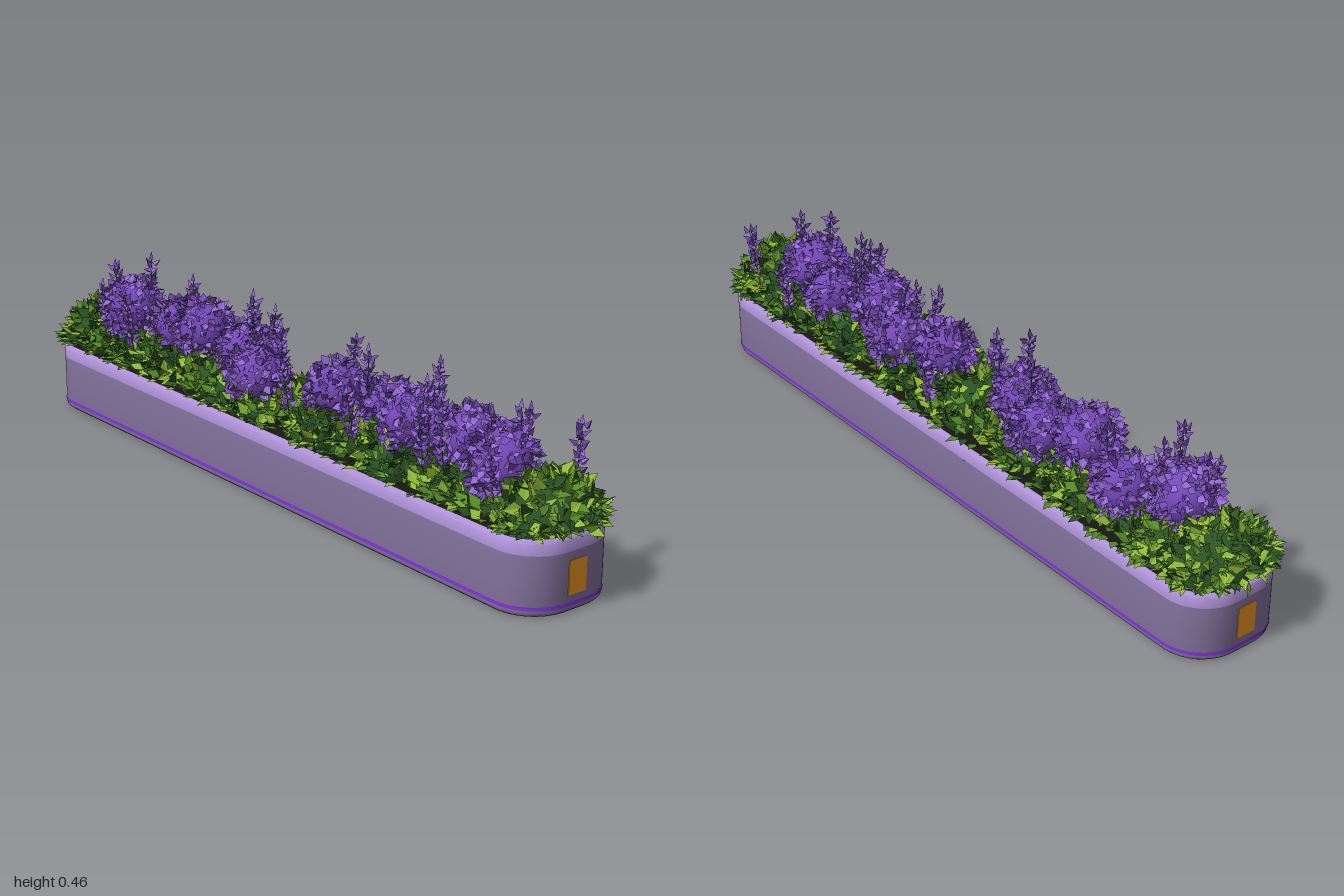
import * as THREE from 'three';
import { toCreasedNormals } from 'three/addons/utils/BufferGeometryUtils.js';

const mat = (name, color, side = THREE.FrontSide) => {
  const m = new THREE.MeshStandardMaterial({ color, side });
  m.name = name;
  return m;
};
const V = (x, y, z) => new THREE.Vector3(x, y, z);

export function createModel() {
  let seed = 7;
  const rnd = () => {
    seed = (seed * 16807) % 2147483647;
    return seed / 2147483647;
  };
  const jit = (s) => (rnd() * 2 - 1) * s;
  const jitV = (s) => V(jit(s), jit(s), jit(s));

  const body = mat('planterMauve', 0x8675a0);
  const rim = mat('rimLilac', 0xb094da);
  const stripe = mat('stripeViolet', 0x7f35d8);
  const label = mat('labelOrange', 0xe5941f);
  const soil = mat('soilDark', 0x17190f, THREE.DoubleSide);
  const greens = [
    mat('leafDark', 0x2c5424, THREE.DoubleSide),
    mat('leafMid', 0x568a2a, THREE.DoubleSide),
    mat('leafLight', 0x92bd3a, THREE.DoubleSide),
  ];
  const purples = [
    mat('petalDeep', 0x7449b8, THREE.DoubleSide),
    mat('petalLight', 0x9468d6, THREE.DoubleSide),
  ];

  const model = new THREE.Group();
  model.name = 'lavenderPlanter';
  const add = (name, geo, material) => {
    const m = new THREE.Mesh(geo, material);
    m.name = name;
    model.add(m);
    return m;
  };

  // Rounded rectangular outline, moved inwards by inset
  const HX = 0.962, HZ = 0.145, R = 0.112, STEPS = 10;
  const outline = (inset) => {
    const pts = [];
    for (let q = 0; q < 4; q++) {
      const cx = (HX - R) * (q === 0 || q === 3 ? 1 : -1);
      const cz = (HZ - R) * (q < 2 ? 1 : -1);
      for (let i = 0; i <= STEPS; i++) {
        const a = (q + i / STEPS) * Math.PI / 2;
        pts.push([cx + Math.cos(a) * (R - inset), cz + Math.sin(a) * (R - inset)]);
      }
    }
    return pts;
  };

  // Sweeps a profile of [inset, y] points around the outline
  const sweep = (profile) => {
    const rows = profile.map(([d, y]) => outline(d).map(([x, z]) => [x, y, z]));
    const pos = [];
    const n = rows[0].length;
    for (let j = 0; j < rows.length - 1; j++) {
      for (let i = 0; i < n; i++) {
        const k = (i + 1) % n;
        const a = rows[j][i], b = rows[j][k], c = rows[j + 1][k], d = rows[j + 1][i];
        pos.push(...a, ...d, ...c, ...a, ...c, ...b);
      }
    }
    const g = new THREE.BufferGeometry();
    g.setAttribute('position', new THREE.Float32BufferAttribute(pos, 3));
    return toCreasedNormals(g, 0.6);
  };

  // Planter shell, open underneath
  const T = 0.011;
  add('planterWall', sweep([[T, 0.145], [T, 0], [0.008, 0], [0.002, 0.005], [0, 0.012], [0, 0.145]]), body);
  add('planterRim', sweep([[0, 0.145], [0, 0.172], [0.003, 0.178], [0.008, 0.181], [T, 0.181], [T, 0.145]]), rim);
  add('baseStripe', sweep([[-0.0012, 0.0165], [-0.0012, 0.0255]]), stripe);
  for (const s of [1, -1]) {
    add('endLabel', new THREE.BoxGeometry(0.003, 0.082, 0.054), label).position.set(s * HX, 0.083, 0.002);
  }
  const bed = new THREE.Shape(outline(T).map(([x, z]) => new THREE.Vector2(x, z)));
  add('soil', new THREE.ShapeGeometry(bed).rotateX(-Math.PI / 2).translate(0, 0.15, 0), soil);

  // Gathers many small pieces into one mesh, with one geometry group per colour
  const cluster = (name, mats) => {
    const lists = mats.map(() => []);
    return {
      // pts: triangle corners in a unit frame growing along +y, with the broad side turned to face
      piece(pts, base, dir, face, width, length, colour = Math.floor(rnd() * mats.length)) {
        const y = dir.clone().normalize();
        const x = y.clone().cross(face).normalize();
        const m = new THREE.Matrix4().makeBasis(x, y, x.clone().cross(y));
        for (const p of pts) {
          const v = V(p[0] * width, p[1] * length, p[2] * width).applyMatrix4(m).add(base);
          lists[colour].push(v.x, v.y, v.z);
        }
      },
      done() {
        const g = new THREE.BufferGeometry();
        let start = 0;
        lists.forEach((l, i) => {
          g.addGroup(start, l.length / 3, i);
          start += l.length / 3;
        });
        g.setAttribute('position', new THREE.Float32BufferAttribute(lists.flat(), 3));
        g.computeVertexNormals();
        return add(name, g, mats);
      },
    };
  };

  // Folded leaf, and three-sided floret
  const leaf = [[0, 0, 0], [0.5, 0.4, 0.15], [0, 1, 0], [0, 0, 0], [0, 1, 0], [-0.5, 0.4, 0.15]];
  const tri = [0, 1, 2].map((i) => [Math.sin(i * 2.094) * 0.5, 0, Math.cos(i * 2.094) * 0.5]);
  const floret = [0, 1, 2].flatMap((i) => [tri[i], tri[(i + 1) % 3], [0, 1, 0]]);
  floret.push(tri[2], tri[1], tri[0]);

  // Ball or dome: a core covered in leaning pieces that face outwards
  const tuft = (name, mats, c, rad, count, width, length, spread, low) => {
    const core = add(name + 'Core', new THREE.SphereGeometry(1, 12, 8), mats[0]);
    core.position.copy(c);
    core.scale.copy(rad).multiplyScalar(0.93);
    const k = cluster(name, mats);
    for (let i = 0; i < count; i++) {
      const y = low + (1 - low) * (i + 0.5) / count;
      const a = i * 2.39996 + jit(0.2), r = Math.sqrt(1 - y * y);
      const n = V(r * Math.cos(a), y, r * Math.sin(a));
      const dir = n.clone().multiplyScalar(0.75).add(jitV(spread));
      const face = n.clone().add(jitV(0.4));
      const s = 0.75 + rnd() * 0.45;
      k.piece(leaf, n.multiply(rad).add(c), dir, face, width * s, length * s);
    }
    k.done();
  };

  // Leafy domes at both ends
  for (const s of [1, -1]) {
    tuft('endBush', greens, V(s * 0.87, 0.19, 0), V(0.092, 0.09, 0.108), 300, 0.028, 0.042, 0.85, -0.05);
  }
  // Low clumps along the bed
  for (let i = 0; i < 13; i++) {
    const h = i === 6 || i === 9 ? 0.085 : 0.04 + rnd() * 0.025;
    const z = (i % 2 ? 1 : -1) * 0.02;
    tuft('leafClump', greens, V(-0.75 + i * 0.125, 0.18, z), V(0.08, h, 0.085), 130, 0.027, 0.042, 0.85, 0);
  }
  // Ground cover spilling over the rim, with some foliage below the soil
  const cover = cluster('groundCover', greens);
  const UP = V(0, 1, 0);
  for (let i = 0; i < 1000; i++) {
    const x = jit(0.92), z = jit(0.122);
    const dir = V(jit(1), 0.3 + rnd() * 0.6, z * 5 + jit(0.7));
    cover.piece(leaf, V(x, 0.18 + rnd() * 0.025, z), dir, V(jit(0.4), 1, z * 5), 0.028, 0.034 + rnd() * 0.018);
  }
  const edge = outline(0.014);
  edge.forEach((p, i) => {
    const q = edge[(i + 1) % edge.length];
    const len = Math.hypot(q[0] - p[0], q[1] - p[1]);
    const n = Math.max(3, Math.round(len * 50));
    for (let j = 0; j < n; j++) {
      const t = rnd();
      const x = p[0] + (q[0] - p[0]) * t, z = p[1] + (q[1] - p[1]) * t;
      const cx = Math.sign(x) * Math.min(Math.abs(x), HX - R);
      const out = V(x - cx, 0, z).normalize().add(V(jit(0.5), rnd() * 0.3, jit(0.3)));
      cover.piece(leaf, V(x, 0.184 + rnd() * 0.015, z), out, UP, 0.024, 0.026 + rnd() * 0.02);
    }
  });
  for (let i = 0; i < 130; i++) {
    cover.piece(leaf, V(jit(0.88), 0.148, jit(0.11)), V(jit(1), -0.3 * rnd(), jit(1)), UP, 0.026, 0.04, i % 2);
  }
  cover.done();

  // Round blossoms: x, y, z, radius
  const blooms = [
    [-0.74, 0.298, 0.01, 0.074], [-0.59, 0.27, -0.04, 0.068], [-0.43, 0.306, -0.01, 0.072],
    [-0.29, 0.272, -0.035, 0.07], [-0.15, 0.262, 0.03, 0.072], [0.13, 0.288, 0.0, 0.066],
    [0.28, 0.272, -0.04, 0.066], [0.43, 0.298, 0.02, 0.068], [0.57, 0.283, -0.035, 0.068],
    [0.73, 0.28, 0.015, 0.076],
  ];
  for (const [x, y, z, r] of blooms) {
    tuft('bloom', purples, V(x, y, z), V(r, r, r), 240, 0.023, 0.027, 0.85, -0.9);
  }

  // Tall flower spikes: x, top y, z
  const spikes = [
    [-0.79, 0.43, 0.03], [-0.77, 0.39, 0.085], [-0.71, 0.455, -0.035], [-0.62, 0.4, 0.115],
    [-0.55, 0.425, -0.06], [-0.28, 0.39, -0.13], [-0.25, 0.455, -0.035], [-0.14, 0.45, 0.05],
    [-0.09, 0.42, 0.0], [0.02, 0.38, -0.155], [0.04, 0.36, 0.095], [0.25, 0.44, 0.0],
    [0.3, 0.37, 0.11], [0.36, 0.36, -0.09], [0.46, 0.455, -0.04], [0.48, 0.41, 0.02],
    [0.51, 0.44, 0.045], [0.54, 0.4, 0.1], [0.58, 0.425, 0.065], [0.65, 0.37, -0.15],
    [0.77, 0.44, 0.0], [0.79, 0.395, 0.11], [0.85, 0.4, -0.11],
  ];
  for (const [x, top, z] of spikes) {
    const foot = V(x + jit(0.015), 0.18, z * 0.75), tip = V(x, top - 0.022, z);
    const stem = new THREE.LineCurve3(foot, tip);
    add('spikeStem', new THREE.TubeGeometry(stem, 1, 0.0015, 4), greens[1]);
    const k = cluster('flowerSpike', purples);
    for (let y = 0.24; y < top - 0.025; y += 0.016) {
      const c = stem.getPoint((y - 0.18) / (tip.y - 0.18));
      const a0 = rnd() * 6.28;
      for (let i = 0; i < 3; i++) {
        const a = a0 + i * 2.094;
        const out = V(Math.cos(a), 0, Math.sin(a));
        const base = out.clone().multiplyScalar(0.006).add(c).add(jitV(0.004));
        k.piece(floret, base, out.clone().setY(1 + jit(0.8)), jitV(1), 0.018, 0.022);
      }
    }
    k.piece(floret, tip, UP, V(1, 0, 0), 0.015, 0.022);
    k.done();
  }
  return model;
}
